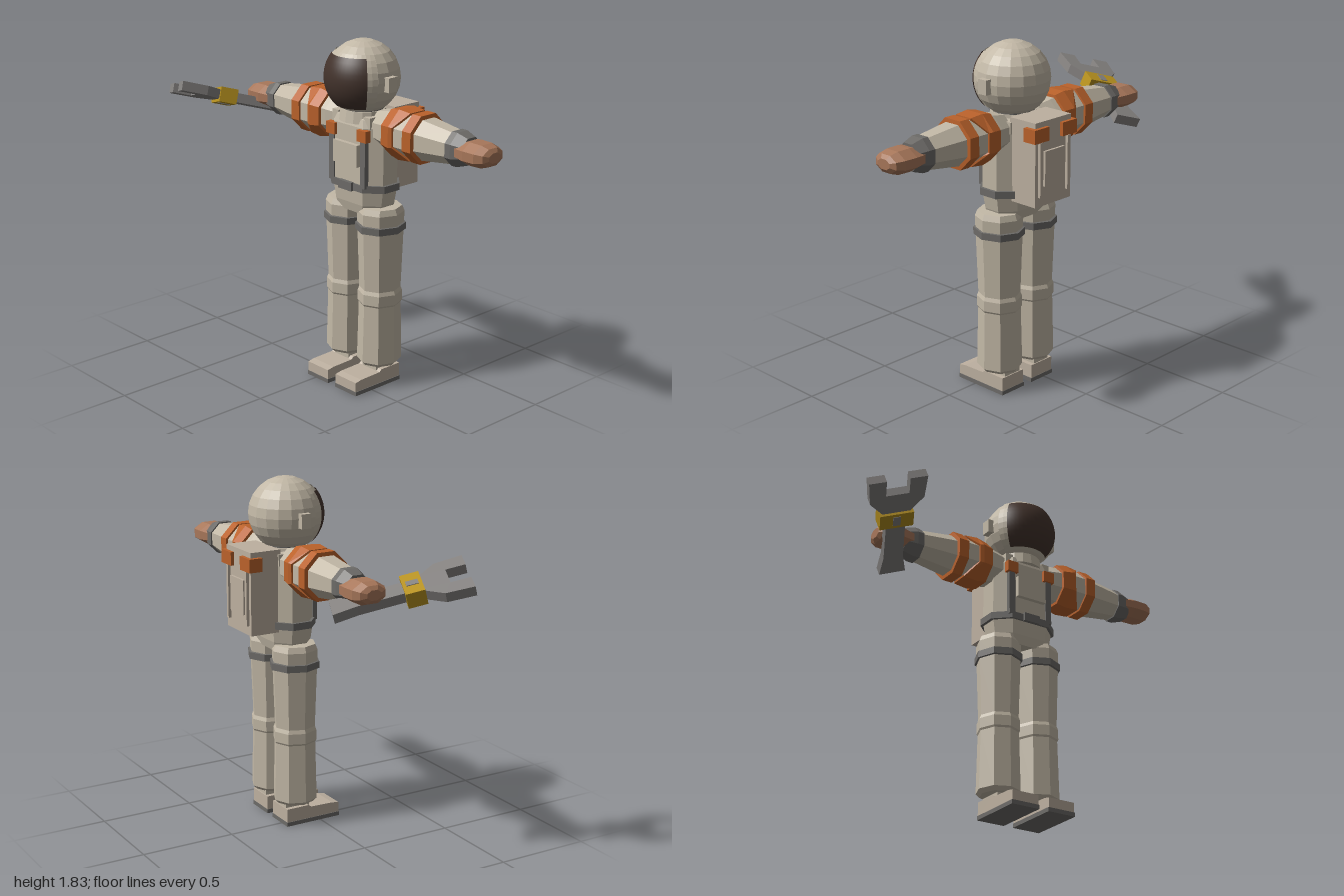
import * as THREE from 'three';

const mat = (name, color, extra = {}) => {
  const m = new THREE.MeshStandardMaterial({ color, flatShading: true, ...extra });
  m.name = name;
  return m;
};

export function createModel() {
  const suit = mat('suit cream', 0xc2b8a6);
  const pack = mat('pack beige', 0xbdb0a0);
  const orange = mat('orange trim', 0xbb622b);
  const strap = mat('dark grey trim', 0x6d6b68);
  const steel = mat('tool grey', 0x858280);
  const yellow = mat('tool yellow', 0xb8921f);
  const glove = mat('glove brown', 0xa8775a);
  const dark = mat('visor brown', 0x43332c, { flatShading: false, side: THREE.DoubleSide });
  const shell = mat('visor frame cream', 0xc2b8a6, { side: THREE.DoubleSide });

  const CX = 0.125, CZ = -0.115, EIGHTH = Math.PI / 8;
  const root = new THREE.Group();
  root.name = 'astronaut';

  const add = (parent, name, geo, material, x = 0, y = 0, z = 0) => {
    const m = new THREE.Mesh(geo, material);
    m.name = name;
    m.position.set(x, y, z);
    parent.add(m);
    return m;
  };
  const box = (parent, name, material, w, h, d, x, y, z) =>
    add(parent, name, new THREE.BoxGeometry(w, h, d), material, x, y, z);
  // Eight-sided tube from [radius, height] pairs; flat puts faces on the axes
  const tube = (pts, flat = true) => {
    const k = flat ? 1 / Math.cos(EIGHTH) : 1;
    return new THREE.LatheGeometry(pts.map(([r, y]) => new THREE.Vector2(r * k, y)), 8, flat ? EIGHTH : 0);
  };
  // Move each vertex by a rule
  const bend = (geo, rule) => {
    const p = geo.attributes.position, v = new THREE.Vector3();
    for (let i = 0; i < p.count; i++) {
      v.fromBufferAttribute(p, i);
      rule(v);
      p.setXYZ(i, v.x, v.y, v.z);
    }
    geo.computeVertexNormals();
    return geo;
  };
  // Broad, flat-fronted body section
  const body = (pts) => bend(tube(pts), (v) => {
    if (Math.abs(v.x) < Math.abs(v.z)) v.x *= 1.4;
    v.z *= 0.64;
  });

  // Torso, neck and belt
  add(root, 'torso', body([[0, 0.94], [0.15, 0.94], [0.17, 0.99], [0.185, 1.08], [0.185, 1.3],
    [0.185, 1.4], [0.165, 1.44], [0.1, 1.465], [0, 1.465]]), suit, CX, 0, CZ);
  add(root, 'belt', body([[0.17, 1.067], [0.2, 1.067], [0.2, 1.104], [0.17, 1.104]]), strap, CX, 0, CZ);
  box(root, 'beltBuckle', strap, 0.095, 0.045, 0.02, CX, 1.086, 0.018);
  add(root, 'neckRing', new THREE.CylinderGeometry(0.115, 0.125, 0.06, 16), suit, CX, 1.445, -0.1);
  add(root, 'neckSeal', new THREE.CylinderGeometry(0.108, 0.108, 0.02, 16), strap, CX, 1.475, -0.1);

  // Chest panel and harness
  box(root, 'chestPanel', suit, 0.175, 0.115, 0.03, CX, 1.255, 0.013);
  for (const s of [-1, 1]) {
    box(root, 'harnessStrap', strap, 0.035, 0.27, 0.025, CX + s * 0.115, 1.225, 0);
    box(root, 'harnessClip', orange, 0.064, 0.06, 0.035, CX + s * 0.115, 1.365, 0.005);
    box(root, 'shoulderStrap', suit, 0.045, 0.06, 0.2, CX + s * 0.115, 1.425, CZ);
  }

  // Helmet with visor and side pods
  const helmet = new THREE.Group();
  helmet.name = 'helmet';
  helmet.position.set(CX, 1.635, -0.097);
  root.add(helmet);
  add(helmet, 'helmetShell', new THREE.SphereGeometry(0.191, 18, 12), suit);
  const patch = (r, half, top, bottom) => new THREE.SphereGeometry(r, 16, 10,
    Math.PI / 2 - half, half * 2, Math.PI / 2 - top, top + bottom);
  add(helmet, 'visorFrame', patch(0.195, 1.2, 0.78, 0.87), shell);
  add(helmet, 'visor', patch(0.199, 0.92, 0.66, 0.78), dark);
  for (const s of [-1, 1]) box(helmet, 'earPod', suit, 0.04, 0.075, 0.056, s * 0.195, -0.008, -0.001);

  // Arms, built pointing up and turned outward
  for (const s of [-1, 1]) {
    const arm = new THREE.Group();
    arm.name = s > 0 ? 'leftArm' : 'rightArm';
    arm.position.set(CX, 1.395, -0.12);
    arm.rotation.z = -s * Math.PI / 2;
    root.add(arm);
    add(arm, 'sleeve', tube([[0, 0.1], [0.085, 0.12], [0.1, 0.2], [0.112, 0.3], [0.112, 0.38],
      [0.102, 0.44], [0.078, 0.635], [0, 0.635]]), suit);
    // V-notched shoulder pad
    add(arm, 'shoulderPad', bend(tube([[0.09, 0.228], [0.118, 0.23], [0.129, 0.29], [0.122, 0.365], [0.095, 0.367]]),
      (v) => { if (Math.abs(v.z) > Math.abs(v.x) && v.y > 0.36) v.y -= 0.055; }), orange);
    add(arm, 'elbowBand', tube([[0.1, 0.378], [0.122, 0.38], [0.122, 0.438], [0.1, 0.44]]), orange);
    add(arm, 'cuff', tube([[0.07, 0.628], [0.085, 0.63], [0.085, 0.665], [0.066, 0.725], [0, 0.725]]), strap);
    add(arm, 'glove', tube([[0, 0.66], [0.075, 0.67], [0.092, 0.75], [0.09, 0.82], [0.07, 0.86], [0.04, 0.875], [0, 0.875]]),
      glove).scale.x = 0.62;
  }

  // Legs and boots
  for (const s of [-1, 1]) {
    const leg = new THREE.Group();
    leg.name = s > 0 ? 'leftLeg' : 'rightLeg';
    leg.position.set(CX + s * 0.119, 0, CZ);
    root.add(leg);
    const trousers = add(leg, 'trouserLeg', tube([[0, 0.115], [0.1, 0.115], [0.12, 0.135], [0.112, 0.45],
      [0.118, 0.46], [0.118, 0.515], [0.11, 0.535], [0.121, 0.84], [0.125, 0.95], [0.112, 0.98], [0, 0.985]], false), suit);
    trousers.scale.x = 0.95;
    const band = add(leg, 'thighBand', tube([[0.115, 0.848], [0.135, 0.852], [0.135, 0.888], [0.115, 0.892]], false), strap);
    band.scale.x = 0.93;
    const fx = -s * 0.011;
    add(leg, 'ankle', new THREE.BoxGeometry(0.105, 0.05, 0.14), suit, fx, 0.1, -0.01);
    const side = new THREE.Shape([[-0.085, 0.02], [0.23, 0.02], [0.23, 0.073], [0.19, 0.08],
      [0.06, 0.083], [0.045, 0.095], [-0.085, 0.095]].map(([a, b]) => new THREE.Vector2(a, b)));
    const boot = add(leg, 'boot', new THREE.ExtrudeGeometry(side, { depth: 0.154, bevelEnabled: false }), pack, fx + 0.077);
    boot.rotation.y = -Math.PI / 2;
    box(leg, 'sole', strap, 0.16, 0.022, 0.319, fx, 0.011, 0.0725);
  }

  // Backpack
  box(root, 'backpack', pack, 0.255, 0.43, 0.17, CX, 1.265, -0.285);
  box(root, 'backPanel', pack, 0.14, 0.18, 0.014, CX, 1.24, -0.376);
  for (const s of [-1, 1]) {
    box(root, 'backRail', pack, 0.018, 0.28, 0.016, CX + s * 0.098, 1.24, -0.377);
    box(root, 'backpackCorner', orange, 0.102, 0.07, 0.075, CX + s * 0.099, 1.418, -0.3515);
  }

  // Open-jawed wrench under the right hand
  const wrench = new THREE.Group();
  wrench.name = 'wrench';
  const along = new THREE.Vector3(-0.29, 0.166, 0.57).normalize();
  const up = new THREE.Vector3(-0.16, 1, -0.373).normalize();
  const across = new THREE.Vector3().crossVectors(along, up);
  wrench.applyMatrix4(new THREE.Matrix4().makeBasis(across, along, up));
  wrench.position.set(-0.58, 1.295, -0.25);
  root.add(wrench);
  const half = [[0.07, 0], [0.052, 0.12], [0.05, 0.42], [0.075, 0.45], [0.14, 0.53],
    [0.15, 0.672], [0.06, 0.672], [0.06, 0.572]];
  const outline = [...half, ...half.map(([a, b]) => [-a, b]).reverse()];
  const tool = new THREE.ExtrudeGeometry(new THREE.Shape(outline.map(([a, b]) => new THREE.Vector2(a, b))),
    { depth: 0.05, bevelEnabled: false });
  add(wrench, 'wrenchBody', tool, steel, 0, 0, -0.025);
  box(wrench, 'wrenchCollar', yellow, 0.176, 0.095, 0.08, 0, 0.4, 0);
  box(wrench, 'collarSlot', steel, 0.04, 0.06, 0.086, 0, 0.4, 0);

  return root;
}
